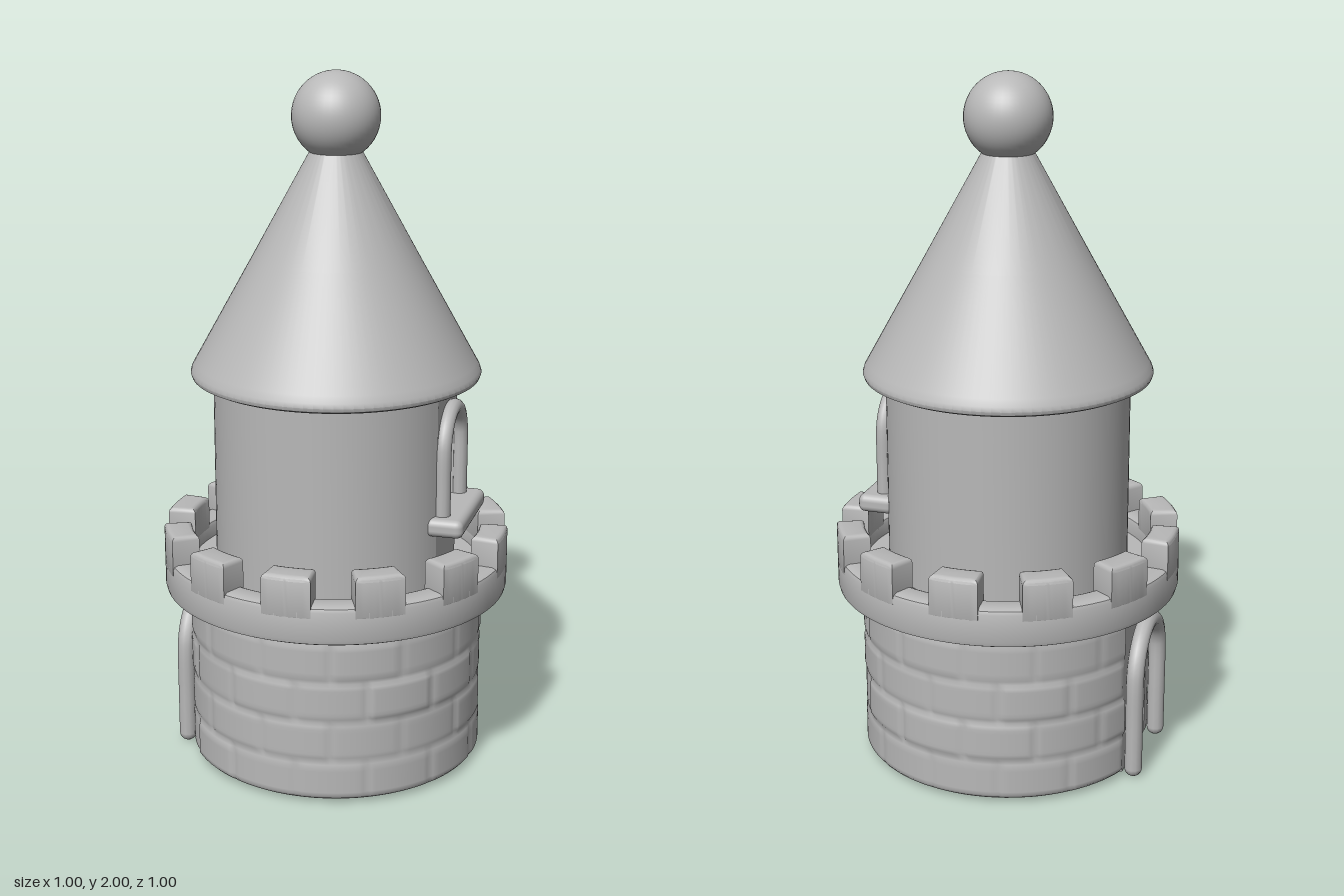
import * as THREE from 'three';
import { toCreasedNormals } from 'three/addons/utils/BufferGeometryUtils.js';
import { RoundedBoxGeometry } from 'three/addons/geometries/RoundedBoxGeometry.js';

const stone = new THREE.MeshStandardMaterial({ color: 0xb8b8b8, side: THREE.DoubleSide });
stone.name = 'grey stone';

function add(parent, name, geometry, x = 0, y = 0, z = 0) {
  const mesh = new THREE.Mesh(geometry, stone);
  mesh.name = name;
  mesh.position.set(x, y, z);
  parent.add(mesh);
  return mesh;
}

function lathe(profile, segments = 72, start = 0, length = Math.PI * 2) {
  const points = profile.map(([r, y]) => new THREE.Vector2(r, y));
  return toCreasedNormals(new THREE.LatheGeometry(points, segments, start, length), 0.65);
}

// Round-topped outline: w is the half width, spring the height where the arch starts
function traceArch(path, w, bottom, spring) {
  path.moveTo(-w, bottom);
  path.lineTo(w, bottom);
  path.lineTo(w, spring);
  path.absarc(0, spring, w, 0, Math.PI, false);
  path.lineTo(-w, bottom);
  return path;
}

// Flat panel with a deep arched recess, facing local +z
function archedRecess(name, o) {
  const group = new THREE.Group();
  group.name = name;
  const panel = new THREE.Shape();
  panel.moveTo(-o.half, o.y0);
  panel.lineTo(o.half, o.y0);
  panel.lineTo(o.half, o.y1);
  panel.lineTo(-o.half, o.y1);
  panel.closePath();
  panel.holes.push(traceArch(new THREE.Path(), o.open, o.bottom, o.spring));
  const geo = new THREE.ExtrudeGeometry(panel, { depth: o.depth, bevelEnabled: false, curveSegments: 20 });
  add(group, name + 'Panel', geo, 0, 0, o.front - o.depth);
  const back = new THREE.ShapeGeometry(traceArch(new THREE.Shape(), o.open + 0.003, o.bottom, o.spring), 20);
  add(group, name + 'Back', back, 0, 0, o.front - o.depth + 0.002);

  // Rounded surround following the arch
  const path = [new THREE.Vector3(-o.frame, o.frameBottom, 0), new THREE.Vector3(-o.frame, (o.frameBottom + o.spring) / 2, 0)];
  for (let i = 0; i <= 12; i++) {
    const t = Math.PI * (1 - i / 12);
    path.push(new THREE.Vector3(Math.cos(t) * o.frame, o.spring + Math.sin(t) * o.frame, 0));
  }
  path.push(new THREE.Vector3(o.frame, (o.frameBottom + o.spring) / 2, 0), new THREE.Vector3(o.frame, o.frameBottom, 0));
  const z = o.front + o.frameOut;
  add(group, name + 'Frame', new THREE.TubeGeometry(new THREE.CatmullRomCurve3(path), 64, o.tube, 12), 0, 0, z);
  for (const s of [-1, 1]) {
    add(group, name + 'FrameFoot', new THREE.SphereGeometry(o.tube, 12, 8), s * o.frame, o.frameBottom, z);
  }
  return group;
}

// Raised, staggered bricks with a few worn away
function brickRelief(theta, y) {
  const row = Math.floor((y - 0.01) / 0.12);
  const v = (y - 0.01) / 0.12 - row;
  const c = (theta / (Math.PI * 2)) * 13 + (row % 2) * 0.5 + 20;
  const col = Math.floor(c);
  const u = c - col;
  const hash = Math.abs(Math.sin(row * 12.9 + (col % 13) * 78.2) * 43758.5) % 1;
  if (row < 0 || row > 3) return 0;
  const edge = (t, m) => THREE.MathUtils.smoothstep(Math.min(t, 1 - t), 0, m);
  return (0.003 + 0.005 * hash) * edge(u, 0.07) * edge(v, 0.13);
}

export function createModel() {
  const tower = new THREE.Group();
  tower.name = 'tower';
  const TAU = Math.PI * 2;

  // Lower wall, open where the flat doorway sits
  const R = 0.422, doorHalf = 0.15, a = Math.asin(doorHalf / R);
  const wallPoints = [new THREE.Vector2(R - 0.014, 0.01), new THREE.Vector2(R - 0.004, 0.016)];
  for (let i = 0; i <= 44; i++) wallPoints.push(new THREE.Vector2(R, 0.025 + (i / 44) * 0.47));
  const wall = new THREE.LatheGeometry(wallPoints, 200, -Math.PI / 2 + a, TAU - 2 * a);
  const p = wall.attributes.position;
  for (let i = 0; i < p.count; i++) {
    const x = p.getX(i), y = p.getY(i), z = p.getZ(i);
    const k = 1 + brickRelief(Math.atan2(x, z), y) / R;
    p.setXYZ(i, x * k, y, z * k);
  }
  wall.computeVertexNormals();
  add(tower, 'lowerWall', wall);

  // Underside with the small opening behind the threshold
  const floor = new THREE.Shape();
  floor.absarc(0, 0, R - 0.012, Math.PI + a, Math.PI * 3 - a, false);
  floor.closePath();
  const hole = new THREE.Path();
  hole.moveTo(-0.31, -0.112);
  hole.lineTo(-0.31, 0.112);
  hole.lineTo(-0.245, 0.112);
  hole.lineTo(-0.245, -0.112);
  hole.closePath();
  floor.holes.push(hole);
  add(tower, 'underside', new THREE.ShapeGeometry(floor, 48).rotateX(Math.PI / 2), 0, 0.01, 0);

  // Doorway on the right side
  const door = archedRecess('doorway', {
    half: doorHalf, y0: 0.012, y1: 0.5, open: 0.115, bottom: 0.014, spring: 0.29, depth: 0.155,
    front: R * Math.cos(a), frame: 0.138, frameBottom: 0.026, frameOut: 0.03, tube: 0.026,
  });
  door.rotation.y = -Math.PI / 2;
  tower.add(door);

  // Battlement ring with walkway
  add(tower, 'battlementRing', lathe([
    [0.40, 0.495], [0.435, 0.495], [0.44, 0.51], [0.485, 0.512], [0.497, 0.518], [0.5, 0.53],
    [0.5, 0.61], [0.496, 0.62], [0.485, 0.625], [0.435, 0.625], [0.424, 0.62], [0.42, 0.61],
    [0.42, 0.575], [0.33, 0.575],
  ], 96));

  // Twelve rounded merlons
  const bevel = 0.014, w = THREE.MathUtils.degToRad(8.2) - 0.03;
  const block = new THREE.Shape();
  block.absarc(0, 0, 0.5 - bevel, -w, w, false);
  block.absarc(0, 0, 0.42 + bevel, w, -w, true);
  block.closePath();
  const merlon = toCreasedNormals(new THREE.ExtrudeGeometry(block, {
    depth: 0.102, bevelEnabled: true, bevelSize: bevel, bevelThickness: bevel, bevelSegments: 3, curveSegments: 8,
  }).rotateX(-Math.PI / 2), 0.6);
  for (let i = 0; i < 12; i++) add(tower, 'merlon', merlon, 0, 0.594, 0).rotation.y = (i / 12) * TAU;

  // Upper wall, open where the flat window sits
  const U = 0.35, winHalf = 0.122, b = Math.asin(winHalf / U);
  add(tower, 'upperWall', lathe([[U, 0.56], [U, 1.15]], 80, Math.PI / 2 + b, TAU - 2 * b));

  // Window and sill on the left side
  const win = archedRecess('window', {
    half: winHalf, y0: 0.56, y1: 1.15, open: 0.09, bottom: 0.77, spring: 0.96, depth: 0.08,
    front: U * Math.cos(b), frame: 0.108, frameBottom: 0.77, frameOut: 0.014, tube: 0.023,
  });
  win.rotation.y = Math.PI / 2;
  add(win, 'windowSill', new RoundedBoxGeometry(0.32, 0.053, 0.11, 3, 0.02), 0, 0.757, 0.355);
  tower.add(win);

  // Cone roof with rounded eave, and ball on top
  add(tower, 'roof', lathe([
    [0.33, 1.14], [0.395, 1.139], [0.41, 1.146], [0.414, 1.157], [0.41, 1.17], [0.4, 1.188],
    [0.235, 1.485], [0.07, 1.785], [0.0, 1.8],
  ], 96));
  add(tower, 'finialBall', new THREE.SphereGeometry(0.124, 40, 28), 0, 1.876, 0);

  return tower;
}
